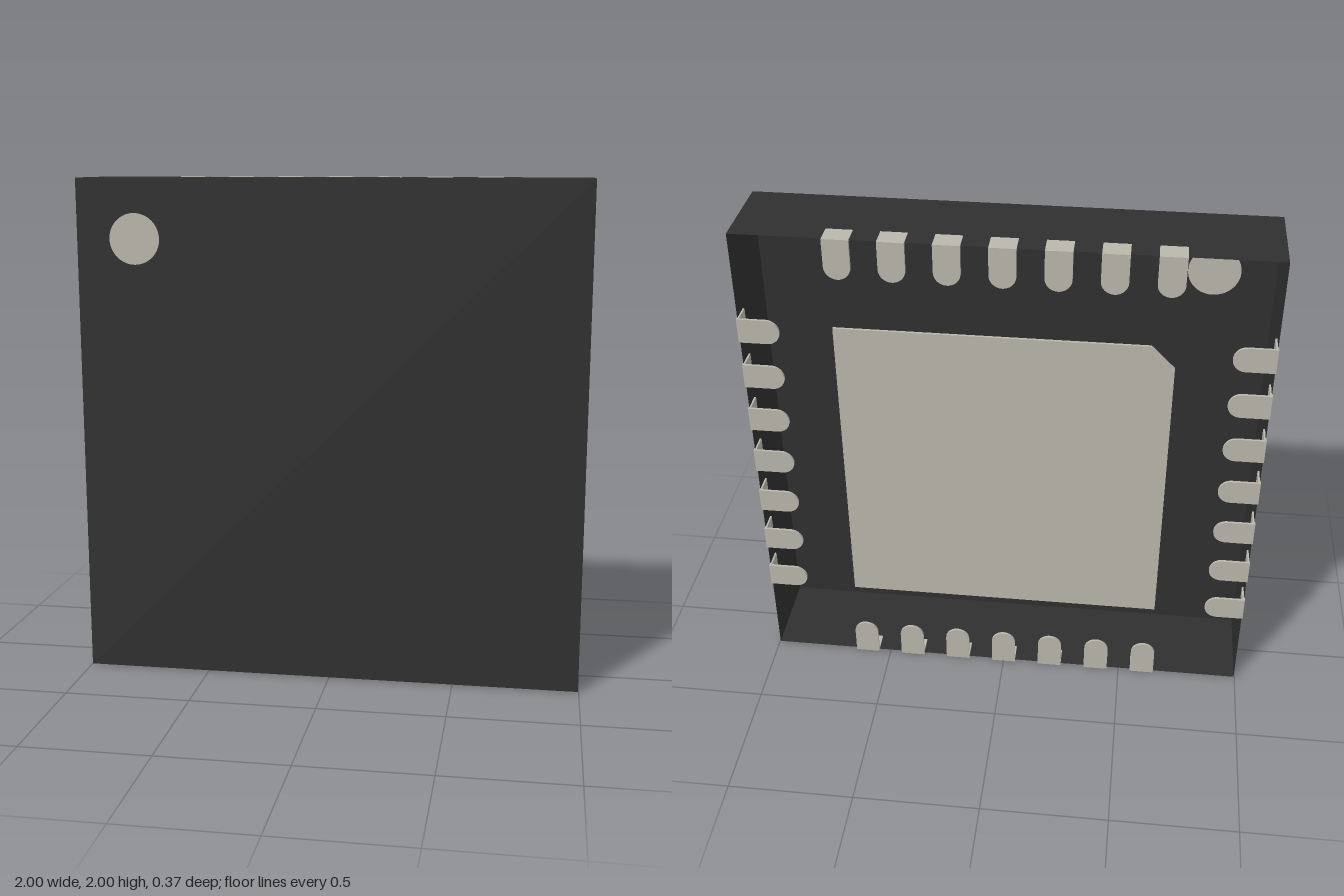
import * as THREE from 'three';

export function createModel() {
  const group = new THREE.Group();
  const bodyMat = new THREE.MeshStandardMaterial({ color: 0x2f2f2f, side: THREE.DoubleSide });
  bodyMat.name = 'charcoal';
  const metalMat = new THREE.MeshStandardMaterial({ color: 0xb9b6ac, side: THREE.DoubleSide });
  metalMat.name = 'tinGrey';

  const add = (parent, name, geometry, material, x = 0, y = 0, z = 0) => {
    const mesh = new THREE.Mesh(geometry, material);
    mesh.name = name;
    mesh.position.set(x, y, z);
    parent.add(mesh);
    return mesh;
  };

  const front = 0.185, back = -0.175, half = 0.997, t = 0.01;

  // Thin-walled shell: front plate and four side walls, open at the back
  const shell = new THREE.Group();
  shell.name = 'packageShell';
  shell.position.y = 1;
  group.add(shell);
  add(shell, 'frontPlate', new THREE.PlaneGeometry(2 * half, 2 * half), bodyMat, 0, 0, front);
  for (let i = 0; i < 4; i++) {
    const side = new THREE.Group();
    side.name = 'shellSide';
    side.rotation.z = i * Math.PI / 2;
    shell.add(side);
    const wall = add(side, 'sideWall', new THREE.PlaneGeometry(2 * half, front - back), bodyMat,
      0, half, (front + back) / 2);
    wall.rotation.x = -Math.PI / 2;
  }

  // Round orientation mark, visible on both faces of the front plate
  const dot = add(group, 'orientationMark', new THREE.CylinderGeometry(0.1, 0.1, 0.006, 40), metalMat,
    -0.765, 1.762, front - 0.001);
  dot.rotation.x = Math.PI / 2;

  // Central thermal pad with one chamfered corner
  const p = 0.635, c = 0.09;
  const padShape = new THREE.Shape([[-p, -p], [p, -p], [p, p], [-p + c, p], [-p, p - c]]
    .map(([x, y]) => new THREE.Vector2(x, y)));
  add(group, 'thermalPad', new THREE.ExtrudeGeometry(padShape, { depth: t, bevelEnabled: false }),
    metalMat, 0, 1, back - t);

  // L-shaped leads: a round-ended foot on the back and a tab on the side wall
  const w = 0.05, length = 0.16;
  const footShape = new THREE.Shape();
  footShape.moveTo(w, 1);
  footShape.lineTo(-w, 1);
  footShape.lineTo(-w, 1 - length + w);
  footShape.absarc(0, 1 - length + w, w, Math.PI, 2 * Math.PI, false);
  footShape.closePath();
  const footGeo = new THREE.ExtrudeGeometry(footShape, { depth: t, bevelEnabled: false, curveSegments: 14 });
  const tabGeo = new THREE.BoxGeometry(2 * w, t, 0.075);

  for (let i = 0; i < 4; i++) {
    const row = new THREE.Group();
    row.name = 'leadRow';
    row.position.y = 1;
    row.rotation.z = i * Math.PI / 2;
    group.add(row);
    for (let k = -3; k <= 3; k++) {
      add(row, 'leadFoot', footGeo, metalMat, k * 0.2, 0, back - t);
      add(row, 'leadTab', tabGeo, metalMat, k * 0.2, 1 - t / 2, back + 0.0375);
    }
  }
  return group;
}
